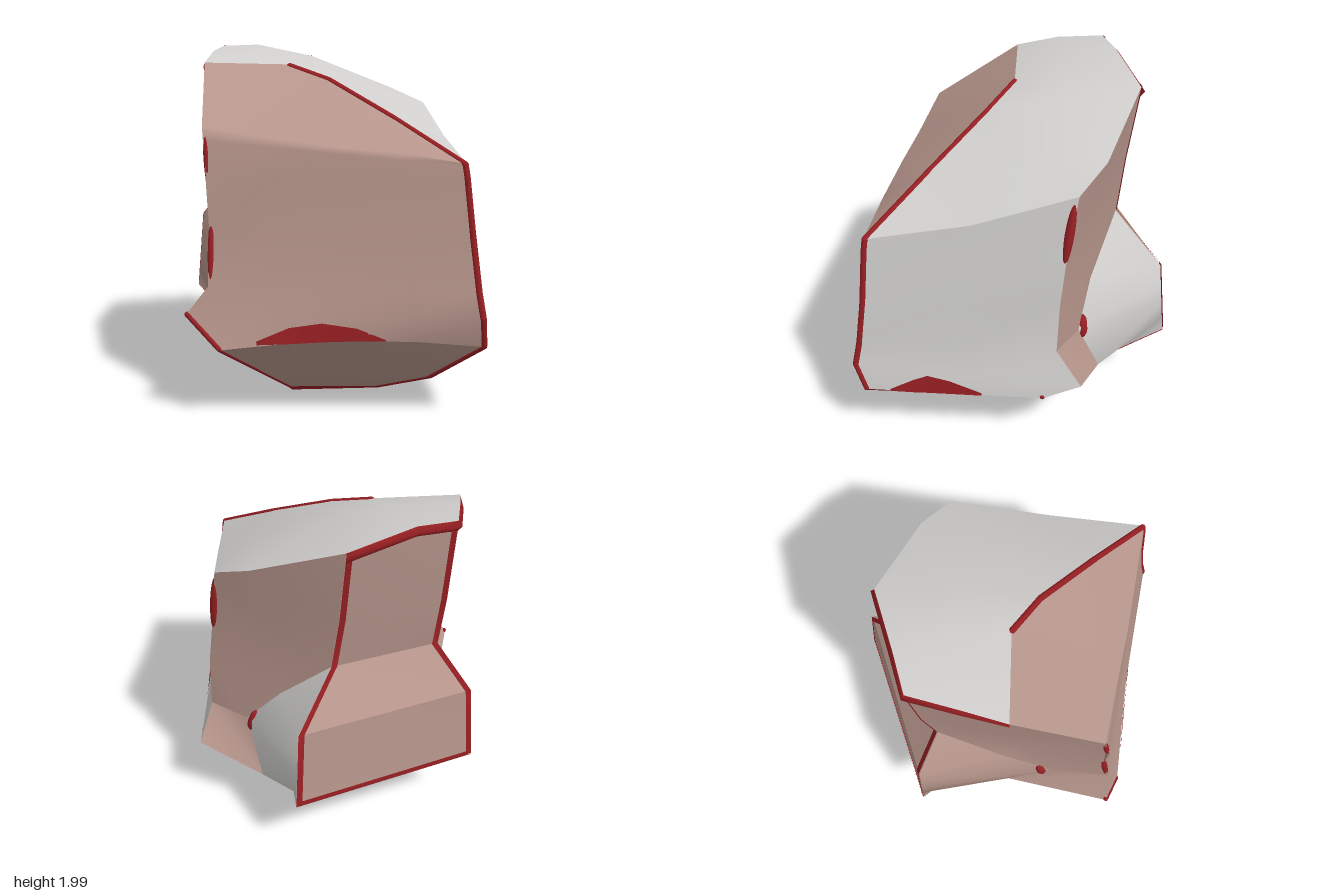
import * as THREE from 'three';

const mat = (name, color) => {
  const m = new THREE.MeshStandardMaterial({ color, side: THREE.DoubleSide });
  m.name = name;
  return m;
};

const mix = (a, b, t) => a.map((v, i) => v + (b[i] - v) * t);
const add = (a, b) => a.map((v, i) => v + b[i]);
const span = (a, b, n) => Array.from({ length: n }, (_, i) => mix(a, b, i / (n - 1)));

// Smooth surface through equal-length rows of points, turned to face outward
function patchGeometry(rows) {
  const w = rows[0].length, index = [];
  for (let r = 0; r < rows.length - 1; r++) {
    for (let c = 0; c < w - 1; c++) {
      const i = r * w + c;
      index.push(i, i + w, i + 1, i + 1, i + w, i + w + 1);
    }
  }
  const points = rows.flat();
  const geo = new THREE.BufferGeometry();
  geo.setAttribute('position', new THREE.Float32BufferAttribute(points.flat(), 3));
  geo.setIndex(index);
  geo.computeVertexNormals();
  const n = geo.attributes.normal;
  let facing = 0;
  points.forEach((p, i) => {
    facing += p[0] * n.getX(i) + (p[1] - 0.9) * n.getY(i) + p[2] * n.getZ(i);
  });
  if (facing < 0) {
    geo.setIndex(index.reverse());
    geo.computeVertexNormals();
  }
  return geo;
}

export function createModel() {
  const group = new THREE.Group();
  const grey = mat('pale grey stone', 0xd0cfcd);
  const pink = mat('dusty pink stone', 0xb7968c);
  const red = mat('dark red edge', 0x971f23);

  const patch = (name, material, rows) => {
    const mesh = new THREE.Mesh(patchGeometry(rows), material);
    mesh.name = name;
    group.add(mesh);
  };

  // Rim of the sloping top
  const A = [-0.7, 1.88, 0.04], B = [-0.22, 1.87, 0.03], C = [0, 1.79, 0.17];
  const C2 = [0.33, 1.59, 0.46], D = [0.66, 1.37, 0.76];
  const E = [-0.61, 1.985, -0.46], F = [-0.4, 1.995, -0.53], G = [-0.05, 1.925, -0.66];
  const G2 = [0.43, 1.73, -0.48], H = [0.62, 1.64, -0.34];
  const topLeft = [-0.66, 1.95, -0.2], topRight = [0.65, 1.47, 0.2];

  // Front ridge, front left edge and right rear edge, from top to bottom
  const ridge = [[0.67, 1.3, 0.77], [0.7, 1, 0.8], [0.73, 0.72, 0.84], [0.75, 0.58, 0.87], [0.77, 0.42, 0.82]];
  const left = [[-0.69, 1.55, 0.53], [-0.67, 1.27, 0.58], [-0.66, 1, 0.575], [-0.67, 0.72, 0.63],
    [-0.79, 0.57, 0.64], [-0.62, 0.4, 0.72]];
  const P = [0.78, 0.51, -0.39], S = [0.79, 0.42, -0.18];
  const rear = [[0.66, 1.3, -0.29], [0.7, 1, -0.26], [0.71, 0.7, -0.25], P, S];
  const P2 = left[4], S2 = left[5], R = ridge[4];

  // Back column and the block that juts out below it
  const X = [-0.02, 1.5, -0.6], I = [0.02, 1.18, -0.565], J = [0.2, 0.93, -0.83], K = [0.22, 0.47, -0.88];
  const Y = [-0.59, 1.5, -0.42], W = [-0.57, 1.18, -0.36], L = [-0.76, 0.93, -0.47], Q = [-0.8, 0.47, -0.48];

  // Foot corners and points along the lower edges
  const T = [0.27, 0.025, -0.15], V = [-0.28, 0.03, 0], T2 = [-0.22, 0.025, 0.28], O = [0.27, 0.025, 0.28];
  const heelLeft = [-0.24, 0.012, 0.14], heelRight = [0.27, 0.012, 0.08];
  const U = mix(T, K, 0.55), U2 = mix(V, Q, 0.55);
  const M = mix(U, P, 0.33), M2 = mix(U2, P2, 0.33);
  const N = [0.5, 0.68, -0.37], N2 = [-0.64, 0.68, 0.3];
  const notch = [0.3, 0.9, -0.43], notch2 = [-0.62, 0.9, 0];
  const ridgeLow = [0.53, 0.19, 0.6];

  // Top
  patch('top', grey, [
    [E, F, G, G2, H],
    [topLeft, [-0.3, 1.965, -0.25], [0.02, 1.88, -0.22], [0.4, 1.69, -0.05], topRight],
    [A, B, C, C2, D]]);

  // Front, from the slope down to a slightly arched lower edge
  const frontEdge = span(S2, R, 5).map(([x, y, z], i) => [x, y + 0.045 * Math.sin(i * Math.PI / 4), z]);
  const underFront = span(mix(S2, T2, 0.5), ridgeLow, 5), toe = span(T2, O, 5);
  patch('frontWall', pink, [
    [A, B, C, C2, D],
    [left[0], [-0.3, 1.49, 0.6], [0, 1.45, 0.66], [0.33, 1.42, 0.71], D],
    span(mix(left[0], left[1], 0.25), mix(D, ridge[0], 0.25), 5),
    ...ridge.slice(0, 4).map((p, i) => span(left[i + 1], p, 5)),
    frontEdge]);
  patch('frontUnderside', pink, [frontEdge, underFront, toe]);

  // Right side
  patch('rightWall', grey, [[D, topRight, H], ...ridge.map((p, i) => span(p, rear[i], 3))]);
  patch('rightUnderside', pink,
    [span(R, S, 3), span(ridgeLow, mix(S, T, 0.5), 3), [O, heelRight, T]]);
  patch('rightRearWall', pink, [
    [G, G2, H],
    [X, [0.38, 1.4, -0.43], rear[0]],
    [I, [0.35, 1.08, -0.42], rear[1]],
    [notch, N, rear[2]]]);
  patch('rightFlare', pink, [[N, rear[2]], [M, P]]);
  patch('rightRearUnderside', pink, [[S, P], [T, U]]);

  // Back column and block
  patch('backColumn', pink, [[E, F, G], [Y, mix(Y, X, 0.5), X], [W, mix(W, I, 0.5), I]]);
  patch('blockTop', pink, [[W, I], [L, J]]);
  patch('blockBack', pink, [[L, J], [mix(L, Q, 0.5), mix(J, K, 0.5)], [Q, K]]);
  patch('blockUnderside', pink, [[Q, K], [U2, U], [V, T]]);
  const blockSide = (top, a, b, m, u, j, k) =>
    [[top, j], [a, mix(j, k, 0.28)], [b, mix(j, k, 0.6)], [m, mix(j, k, 0.8)], [u, k]];
  patch('blockRightSide', grey, blockSide(I, notch, N, M, U, J, K));
  patch('blockLeftSide', pink, blockSide(W, notch2, N2, M2, U2, L, Q));

  // Left side
  patch('leftWall', pink, [
    [E, topLeft, A],
    [Y, [-0.65, 1.5, 0.05], left[0]],
    [W, [-0.6, 1.08, 0.1], left[2]],
    [notch2, N2, left[3]]]);
  patch('leftFlare', pink, [[N2, left[3]], [M2, P2]]);
  patch('leftUnderside', pink, [[S2, P2], [T2, U2], [V, U2]]);

  // Foot
  patch('foot', red, [[T2, O], [heelLeft, heelRight], [V, T]]);

  // Worn chips along the lower edges of the front and right walls
  patch('frontChip', red, [
    [[-0.42, 0.45, 0.738], [-0.25, 0.52, 0.741], [-0.08, 0.545, 0.756], [0.1, 0.52, 0.777], [0.25, 0.46, 0.79]],
    [[-0.42, 0.43, 0.738], [-0.25, 0.437, 0.753], [-0.08, 0.447, 0.766], [0.1, 0.453, 0.779], [0.25, 0.452, 0.79]]]);
  patch('rightChip', red, [
    [[0.784, 0.44, 0.67], [0.774, 0.505, 0.54], [0.774, 0.54, 0.46], [0.782, 0.515, 0.34], [0.79, 0.44, 0.16]],
    [[0.784, 0.425, 0.67], [0.788, 0.425, 0.54], [0.788, 0.425, 0.46], [0.79, 0.425, 0.34], [0.794, 0.425, 0.16]]]);

  // Bevelled rim along the back and left of the top, falling outward
  const rim = [A, topLeft, E, F, G];
  const out = [[-0.008, 0, 0], [-0.018, 0, -0.004], [-0.018, 0, -0.015], [-0.008, 0, -0.02], [0, 0, -0.022]];
  patch('rimBevel', red, [
    rim,
    rim.map((p, i) => add(add(p, out[i]), [0, -0.026, 0])),
    rim.map(p => add(p, [0, -0.055, 0]))]);

  // Flat red bands along one side of an edge, reaching toward a second path
  const band = (name, path, toward, lift, width = 0.034) => {
    const inner = path.map((p, i) => mix(p, toward[i], width / Math.hypot(...p.map((v, k) => v - toward[i][k]))));
    patch(name, red, [path, inner].map(row => row.map(p => add(p, lift))));
  };
  const back = [-0.002, 0.003, -0.006], below = [-0.001, -0.005, -0.004];
  const rightSide = [G, X, I, J, K], leftSide = [E, Y, W, L, Q];
  band('backRightBand', rightSide, leftSide, back);
  band('backLeftBand', leftSide, rightSide, back);
  band('blockLowerBand', [Q, K], [L, J], back, 0.025);
  band('blockUnderBand', [Q, K], [V, T], below, 0.025);
  band('blockUnderRightBand', [K, U, T], [Q, U2, V], below, 0.045);
  band('blockUnderLeftBand', [Q, U2, V], [K, U, T], below, 0.04);
  band('toeBand', toe, underFront, [0, -0.004, 0.005], 0.055);

  // Rounded red edges, sunk into the stone
  const up = new THREE.Vector3(0, 1, 0);
  const place = (mesh, name, from, to, parent) => {
    mesh.name = name;
    mesh.position.copy(from).lerp(to, 0.5);
    mesh.quaternion.setFromUnitVectors(up, to.clone().sub(from).normalize());
    parent.add(mesh);
  };
  const edge = (name, path, radius = 0.018) => {
    const line = new THREE.Group();
    line.name = name;
    const pts = path.map(p => new THREE.Vector3(p[0] * 0.988, 0.9 + (p[1] - 0.9) * 0.99, p[2] * 0.988));
    for (let i = 0; i < pts.length - 1; i++) {
      const geo = new THREE.CapsuleGeometry(radius, pts[i].distanceTo(pts[i + 1]), 3, 8);
      place(new THREE.Mesh(geo, red), name + 'Segment', pts[i], pts[i + 1], line);
    }
    group.add(line);
  };
  edge('frontRidge', [B, C, C2, D, ...ridge, ridgeLow, O]);
  edge('rightLowerEdge', [S, T], 0.016);
  edge('leftLowerEdge', [P2, S2, T2], 0.015);
  edge('footEdge', [T, heelRight, O, T2, heelLeft, V, T]);

  // Tapered chips on the upright edges and in the two notches
  const chip = (name, a, b, radius) => {
    const from = new THREE.Vector3(...a), to = new THREE.Vector3(...b);
    const mesh = new THREE.Mesh(new THREE.SphereGeometry(1, 12, 12), red);
    mesh.scale.set(radius, from.distanceTo(to) / 2, radius);
    place(mesh, name, from, to, group);
  };
  chip('rightRearChip', [0.62, 1.6, -0.318], [0.655, 1.24, -0.275], 0.026);
  chip('leftUpperChip', [-0.675, 1.55, 0.52], [-0.66, 1.24, 0.572], 0.017);
  chip('leftLowerChip', [-0.65, 1.06, 0.563], [-0.655, 0.69, 0.622], 0.018);
  chip('rightNotch', mix(N, M, 0.2), mix(N, notch, 0.3), 0.03);
  chip('leftNotch', mix(N2, M2, 0.2), mix(N2, notch2, 0.3), 0.03);

  return group;
}
